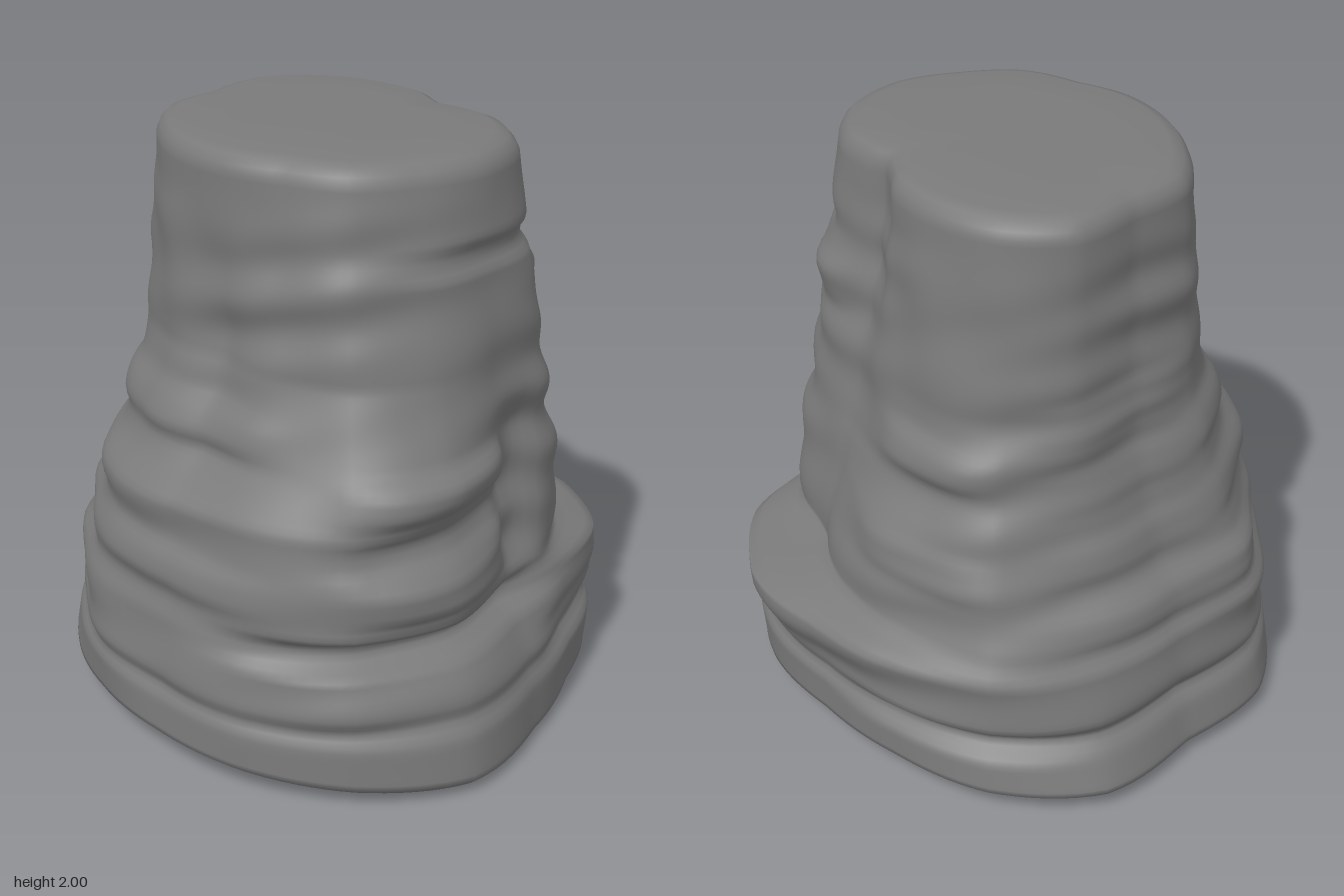
import * as THREE from 'three';

// Plan outlines of the rock: 16 evenly spaced radii, going from +x towards +z
const OUTLINES = [
  { y: 0.06, radii: [.84, .88, .90, .85, .89, 1.02, 1.01, .96, .90, .89, .92, .97, .92, 1.02, .98, .88] },
  { y: 0.25, radii: [.84, .89, .92, .86, .88, .99, 1.00, .96, .89, .90, .90, .93, .87, .95, .95, .88] },
  { y: 0.49, radii: [.89, .95, .92, .82, .78, .88, .94, .92, .85, .87, .87, .91, .86, .92, .95, .89] },
  { y: 0.55, radii: [.76, .68, .73, .75, .74, .87, .94, .90, .82, .84, .84, .86, .79, .84, .90, .81] },
  { y: 0.88, radii: [.66, .60, .70, .74, .70, .82, .90, .84, .78, .80, .76, .76, .70, .74, .79, .73] },
  { y: 1.02, radii: [.58, .56, .69, .74, .70, .82, .83, .72, .65, .69, .70, .71, .65, .69, .74, .66] },
  { y: 1.30, radii: [.54, .52, .64, .71, .69, .71, .68, .60, .53, .58, .62, .65, .60, .66, .67, .60] },
  { y: 2.00, radii: [.47, .43, .54, .61, .62, .58, .57, .52, .54, .55, .57, .61, .58, .64, .60, .53] },
];

// A bump (or a hollow, when depth is negative) with a blocky falloff
const lump = (deg, y, halfAngle, halfHeight, depth) => ({ deg, y, halfAngle, halfHeight, depth });

// Ledges stacked evenly up one flank
const ledges = (deg, halfAngle, firstY, spacing, count, depth) =>
  Array.from({ length: count }, (_, i) => lump(deg, firstY + i * spacing, halfAngle, 0.065, depth));

const LUMPS = [
  ...ledges(112, 22, 0.66, 0.32, 2, 0.05), // front steps
  ...ledges(183, 26, 0.66, 0.45, 2, 0.025), // side steps
  ...ledges(232, 20, 0.62, 0.24, 3, 0.02),
  ...ledges(278, 26, 0.82, 0.24, 3, 0.02), // back steps
  ...ledges(335, 20, 0.80, 0.33, 2, 0.025),
  lump(270, 0.61, 34, 0.075, 0.05), // back block
  lump(112, 0.81, 24, 0.05, -0.04), // gap between the front steps
  lump(115, 0.49, 42, 0.045, -0.08), // undercut above the foot
  lump(82, 0.85, 7, 0.28, -0.05), // cleft beside the front steps
  lump(55, 0.75, 18, 0.20, 0.03), // front buttress
  lump(45, 1.47, 12, 0.08, 0.03),
  lump(16, 1.72, 11, 0.26, -0.03), // long groove
  lump(85, 1.67, 35, 0.04, -0.025), // neck under the cap
  lump(62, 0.30, 18, 0.07, -0.03),
  lump(322, 0.24, 26, 0.05, -0.03),
];

// Closed interpolation around one outline, halfway between rounded and faceted
function outlineRadius(radii, turn) {
  const n = radii.length, u = turn * n, i = Math.floor(u), t = u - i;
  const [a, b, c, d] = [-1, 0, 1, 2].map(k => radii[(i + k + n) % n]);
  const curve = b + 0.5 * t * (c - a + t * (2 * a - 5 * b + 4 * c - d + t * (3 * (b - c) + d - a)));
  const chord = b * c / THREE.MathUtils.lerp(c, b, t);
  return (curve + chord) / 2;
}

function rockRadius(turn, y) {
  let k = 0;
  while (k < OUTLINES.length - 2 && y > OUTLINES[k + 1].y) k++;
  const low = OUTLINES[k], high = OUTLINES[k + 1];
  const t = THREE.MathUtils.clamp((y - low.y) / (high.y - low.y), 0, 1);
  let r = THREE.MathUtils.lerp(outlineRadius(low.radii, turn), outlineRadius(high.radii, turn), t);
  for (const l of LUMPS) {
    const a = ((turn * 360 - l.deg + 540) % 360 - 180) / l.halfAngle;
    r += l.depth * Math.exp(-(a ** 4) - ((y - l.y) / l.halfHeight) ** 4);
  }
  // Broken strata and shallow chipped hollows
  const angle = turn * Math.PI * 2;
  const fade = THREE.MathUtils.smoothstep(y, 0.15, 0.35) * (1 - THREE.MathUtils.smoothstep(y, 1.6, 1.95));
  const strata = Math.sin(y * 29 + 2 * Math.sin(angle * 2 + 1)) * (0.5 + 0.5 * Math.sin(angle * 3 + y * 4));
  const chips = Math.sin(angle * 7 + y * 8) * Math.sin(y * 13 - angle * 4);
  r += fade * (0.011 * strata + 0.01 * chips);
  // The rock steps in above the lowest slab
  return r - 0.025 * Math.exp(-(((y - 0.25) / 0.03) ** 2));
}

function createRockGeometry() {
  const sides = 128, wall = 96;
  // Rows as height and radius scale: underside, wall, rounded rim and flat top
  const rows = [[0.015, 0], [0.015, 0.5], [0.015, 0.9], [0.025, 0.97]];
  for (let j = 0; j <= wall; j++) rows.push([0.05 + 1.88 * j / wall, 1]);
  rows.push([1.955, 0.985], [1.98, 0.95], [1.993, 0.88], [2, 0.6], [2, 0]);

  const positions = [], index = [];
  rows.forEach(([y, scale], j) => {
    for (let i = 0; i < sides; i++) {
      const turn = i / sides, a = turn * Math.PI * 2;
      const r = rockRadius(turn, y) * scale;
      const x = r * Math.cos(a), z = r * Math.sin(a);
      // The underside dips to the front and lifts at both sides
      const lift = (0.06 * x * x - 0.018 * z) * Math.max(0, 1 - y / 0.25);
      positions.push(x, Math.max(0, y + lift), z);
      if (j === rows.length - 1) continue;
      const p = j * sides + i, q = j * sides + (i + 1) % sides;
      index.push(p, p + sides, q, q, p + sides, q + sides);
    }
  });
  const geometry = new THREE.BufferGeometry();
  geometry.setAttribute('position', new THREE.Float32BufferAttribute(positions, 3));
  geometry.setIndex(index);
  geometry.computeVertexNormals();
  return geometry;
}

export function createModel() {
  const group = new THREE.Group();
  group.name = 'rockPillar';
  const rock = new THREE.Mesh(createRockGeometry(), new THREE.MeshStandardMaterial({ color: 0x7a7a7a }));
  rock.name = 'layeredRock';
  group.add(rock);
  return group;
}
